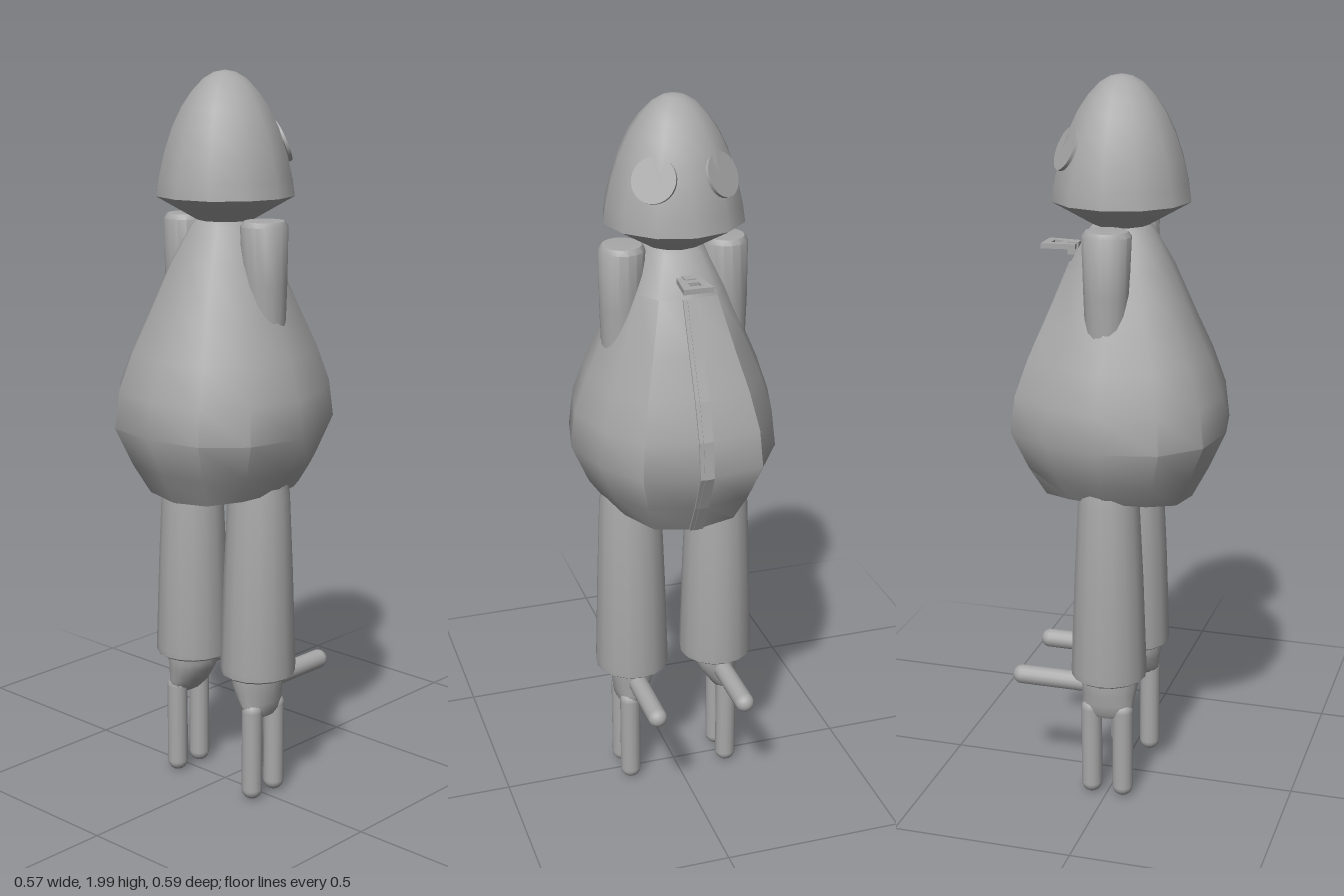
import * as THREE from 'three';
import { mergeVertices, toCreasedNormals } from 'three/addons/utils/BufferGeometryUtils.js';

const V2 = (p) => new THREE.Vector2(p[0], p[1]);

// Smooth gentle bends, keep hard rims
function soften(geo, crease = 0.75) {
  geo.deleteAttribute('normal');
  geo.deleteAttribute('uv');
  return toCreasedNormals(mergeVertices(geo, 1e-5), crease);
}

// Stack of elliptical rings [y, centreX, radiusX, radiusZ], listed from bottom to top
function loft(rings, sides = 16) {
  const geo = new THREE.LatheGeometry(rings.map((r) => new THREE.Vector2(1, r[0])), sides);
  const pos = geo.attributes.position;
  for (let i = 0; i < pos.count; i++) {
    const [y, cx, rx, rz] = rings[i % rings.length];
    pos.setXYZ(i, cx + pos.getX(i) * rx, y, pos.getZ(i) * rz);
  }
  return soften(geo);
}

export function createModel() {
  const model = new THREE.Group();
  model.name = 'figure';
  const grey = new THREE.MeshStandardMaterial({ color: 0xa8a8a8 });
  grey.name = 'grey';

  const add = (name, geo, parent = model) => {
    const mesh = new THREE.Mesh(geo, grey);
    mesh.name = name;
    parent.add(mesh);
    return mesh;
  };

  // Pear-shaped body: an uneven twelve-sided outline scaled by a side profile
  const profile = [[0, 0.87], [0.2, 0.87], [0.245, 0.955], [0.292, 1.06], [0.28, 1.16],
    [0.245, 1.26], [0.2, 1.36], [0.14, 1.5], [0.085, 1.6], [0.06, 1.625], [0, 1.63]];
  const half = [[0, 1], [0.53, 0.91], [0.855, 0.58], [0.975, 0.03],
    [0.83, -0.48], [0.56, -0.9], [0, -1]];
  const body = new THREE.LatheGeometry(profile.map(V2), 12);
  const pos = body.attributes.position;
  for (let i = 0; i < pos.count; i++) {
    const j = Math.floor(i / profile.length);
    const [r, y] = profile[i % profile.length];
    const [ox, oz] = half[j <= 6 ? j : 12 - j];
    const lift = r > 0 && y < 0.9 ? 0.025 * ox * ox : 0;
    pos.setXYZ(i, r * ox * (j <= 6 ? 1 : -1), y + lift, r * oz);
  }
  add('body', soften(body));

  // Pointed dome head with a sloping underside
  const headProfile = [[0, 1.605], [0.075, 1.612], [0.188, 1.677], [0.182, 1.72], [0.167, 1.785],
    [0.145, 1.85], [0.118, 1.905], [0.09, 1.945], [0.058, 1.978], [0.03, 1.994], [0, 2]];
  add('head', soften(new THREE.LatheGeometry(headProfile.map(V2), 12), 0.7));

  // Round eye plates on the back of the head
  for (const s of [1, -1]) {
    const plate = new THREE.CylinderGeometry(0.059, 0.059, 0.009, 28);
    const eye = add(s > 0 ? 'leftEye' : 'rightEye', plate);
    const out = new THREE.Vector3(0.55 * s, 0.4, -0.74).normalize();
    eye.quaternion.setFromUnitVectors(new THREE.Vector3(0, 1, 0), out);
    eye.position.set(0.089 * s, 1.815, -0.122);
  }

  // Zip band following the spine of the body, with a narrow raised centre
  const spine = profile.slice(1, 8);
  const zip = (name, width, rise) => {
    const outer = spine.map(([r, y]) => new THREE.Vector2(r + rise, y));
    const inner = spine.map(([r, y]) => new THREE.Vector2(r - 0.01, y)).reverse();
    const geo = new THREE.ExtrudeGeometry(new THREE.Shape([...outer, ...inner]),
      { depth: width, bevelEnabled: false });
    geo.translate(0, 0, -width / 2).rotateY(Math.PI / 2);
    add(name, geo);
  };
  zip('zipBand', 0.038, 0.002);
  zip('zipTeeth', 0.016, 0.004);

  // Zip pull: flat tapered tab with a slot
  const tab = new THREE.Shape([[-0.03, 0.12], [0.03, 0.12], [0.04, 0.212], [-0.04, 0.212]].map(V2));
  tab.holes.push(new THREE.Path([[-0.015, 0.165], [-0.015, 0.19], [0.015, 0.19], [0.015, 0.165]].map(V2)));
  const pull = new THREE.ExtrudeGeometry(tab, { depth: 0.014, bevelEnabled: false });
  pull.rotateX(-Math.PI / 2).translate(0, 1.54, 0);
  add('zipPull', pull);
  add('zipSlider', new THREE.BoxGeometry(0.03, 0.034, 0.03).translate(0, 1.54, -0.13));

  for (const s of [1, -1]) {
    const side = s > 0 ? 'left' : 'right';

    // Short arm resting against the shoulder
    add(side + 'Arm', loft([[1.29, 0.15 * s, 0, 0], [1.29, 0.15 * s, 0.046, 0.052],
      [1.45, 0.143 * s, 0.058, 0.06], [1.605, 0.14 * s, 0.061, 0.066],
      [1.618, 0.14 * s, 0.052, 0.056], [1.621, 0.14 * s, 0, 0]]));

    // Trouser leg, widening to a rounded hem
    add(side + 'Leg', loft([[0.366, 0.125 * s, 0, 0], [0.366, 0.125 * s, 0.094, 0.096],
      [0.372, 0.125 * s, 0.102, 0.104], [0.39, 0.125 * s, 0.103, 0.105],
      [0.65, 0.125 * s, 0.095, 0.095], [0.88, 0.125 * s, 0.086, 0.083],
      [0.93, 0.125 * s, 0.078, 0.076], [0.93, 0.125 * s, 0, 0]]));

    // Foot shaped like a hand: palm, two prongs downwards, one backwards
    const foot = new THREE.Group();
    foot.name = side + 'Foot';
    model.add(foot);
    add('palm', loft([[0.245, 0.145 * s, 0, 0], [0.248, 0.145 * s, 0.02, 0.05],
      [0.265, 0.142 * s, 0.033, 0.07], [0.29, 0.135 * s, 0.044, 0.074],
      [0.32, 0.127 * s, 0.056, 0.078], [0.345, 0.124 * s, 0.061, 0.083],
      [0.375, 0.124 * s, 0.06, 0.084], [0.375, 0.124 * s, 0, 0]]), foot);
    for (const z of [0.045, -0.045]) {
      add(z > 0 ? 'frontToe' : 'middleToe',
        new THREE.CapsuleGeometry(0.029, 0.23, 6, 14).translate(0.145 * s, 0.153, z), foot);
    }
    add('backToe', new THREE.CapsuleGeometry(0.027, 0.2, 6, 14)
      .rotateX(Math.PI / 2).translate(0.127 * s, 0.334, -0.154), foot);
  }

  return model;
}
